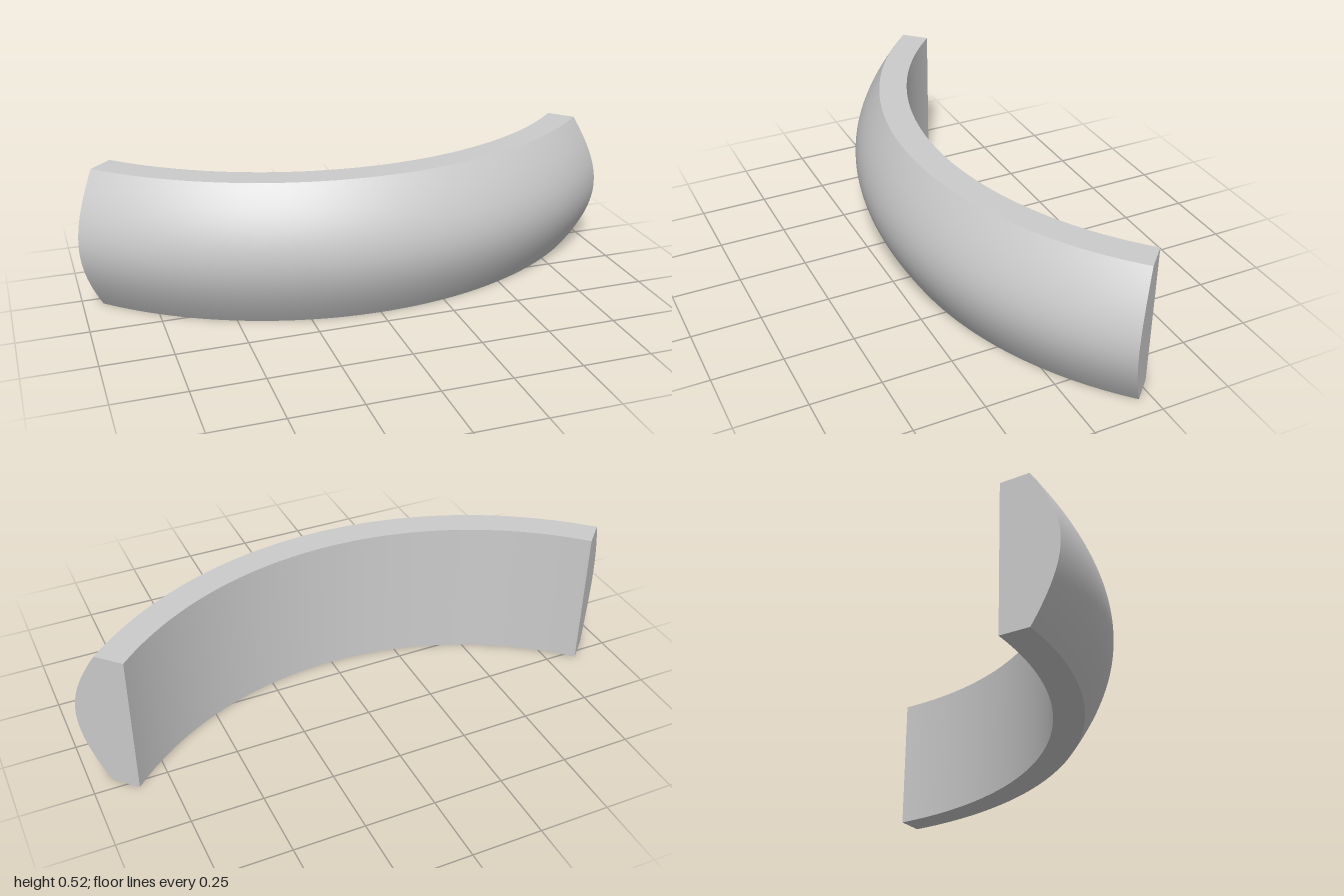
import * as THREE from 'three';

const H = 0.517, R_IN = 1.209, R_EDGE = 1.313, BULGE = 0.101;
const ARC = Math.PI / 2, CENTER_Z = -1.135;

export function createModel() {
  const group = new THREE.Group();
  group.name = 'curvedSegment';
  const mat = new THREE.MeshStandardMaterial({ color: 0xcccccc });
  const capMat = new THREE.MeshStandardMaterial({ color: 0xcccccc, side: THREE.DoubleSide });
  const v = (r, y) => new THREE.Vector2(r, y);

  // Bulged outer profile, fullest at mid height and straighter near the edges
  const outer = [];
  for (let i = 0; i <= 32; i++) {
    const t = i / 16 - 1;
    const drop = (Math.sqrt(1 + t * t) - 1) / (Math.SQRT2 - 1);
    outer.push(v(R_EDGE + BULGE * (1 - drop), (H * i) / 32));
  }

  // Each side is swept separately so the edges between them stay sharp
  const sides = {
    outerFace: outer,
    topFace: [v(R_EDGE, H), v(R_IN, H)],
    innerFace: [v(R_IN, H), v(R_IN, 0)],
    bottomFace: [v(R_IN, 0), v(R_EDGE, 0)],
  };
  for (const [name, points] of Object.entries(sides)) {
    const mesh = new THREE.Mesh(new THREE.LatheGeometry(points, 52, -ARC / 2, ARC), mat);
    mesh.name = name;
    mesh.position.z = CENTER_Z;
    group.add(mesh);
  }

  // Flat end caps share the cross-section
  const section = new THREE.Shape([v(R_IN, 0), ...outer, v(R_IN, H)]);
  for (const [name, phi] of [['leftEnd', ARC / 2], ['rightEnd', -ARC / 2]]) {
    const cap = new THREE.Mesh(new THREE.ShapeGeometry(section), capMat);
    cap.name = name;
    cap.rotation.y = phi - Math.PI / 2;
    cap.position.z = CENTER_Z;
    group.add(cap);
  }
  return group;
}
